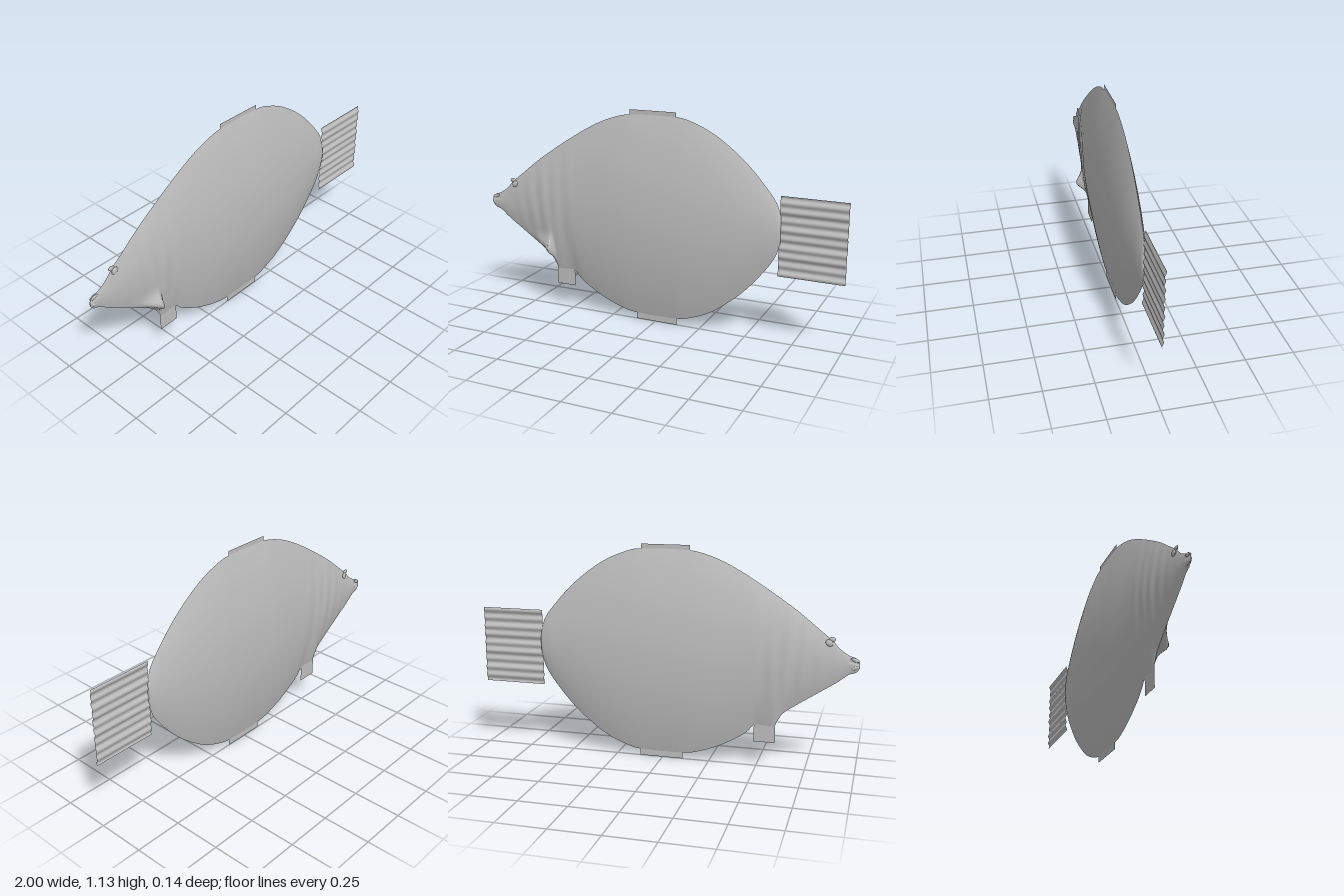
import * as THREE from 'three';

// Smooth interpolation through [x, value] points
function curve(pts) {
  const slope = pts.map((p, i) => {
    const a = pts[Math.max(i - 1, 0)], b = pts[Math.min(i + 1, pts.length - 1)];
    return (b[1] - a[1]) / (b[0] - a[0]);
  });
  return (x) => {
    let i = 0;
    while (i < pts.length - 2 && x > pts[i + 1][0]) i++;
    const [x0, y0] = pts[i], [x1, y1] = pts[i + 1], d = x1 - x0;
    const t = THREE.MathUtils.clamp((x - x0) / d, 0, 1), t2 = t * t, t3 = t2 * t;
    return y0 * (2 * t3 - 3 * t2 + 1) + y1 * (3 * t2 - 2 * t3)
      + d * (slope[i] * (t3 - 2 * t2 + t) + slope[i + 1] * (t3 - t2));
  };
}

const back = curve([[-1, 0.58], [-0.985, 0.6], [-0.95, 0.612], [-0.9, 0.645], [-0.87, 0.678], [-0.8, 0.735],
  [-0.7, 0.815], [-0.6, 0.885], [-0.5, 0.95], [-0.4, 1.01], [-0.3, 1.06], [-0.2, 1.094], [-0.13, 1.105],
  [0.13, 1.105], [0.2, 1.088], [0.3, 1.045], [0.4, 0.98], [0.5, 0.895], [0.6, 0.785], [0.65, 0.715], [0.67, 0.655]]);
const belly = curve([[-1, 0.55], [-0.985, 0.53], [-0.95, 0.517], [-0.9, 0.478], [-0.8, 0.41], [-0.7, 0.343],
  [-0.63, 0.29], [-0.605, 0.25], [-0.585, 0.22], [-0.49, 0.22], [-0.45, 0.18], [-0.4, 0.143], [-0.3, 0.088],
  [-0.2, 0.05], [-0.13, 0.035], [0.13, 0.035], [0.2, 0.052], [0.3, 0.095], [0.4, 0.165], [0.5, 0.255],
  [0.6, 0.375], [0.65, 0.455], [0.67, 0.52]]);
const thick = curve([[-1, 0.005], [-0.9, 0.009], [-0.8, 0.019], [-0.7, 0.03], [-0.6, 0.04], [-0.4, 0.053],
  [-0.15, 0.068], [0.15, 0.068], [0.4, 0.053], [0.6, 0.027], [0.66, 0.013], [0.67, 0.01]]);

const gauss = (d, s) => Math.exp(-(d * d) / (s * s));

// Half thickness at x, with v running from -1 (belly) to 1 (back)
function depth(x, v, y, side) {
  const lens = 1 - v * v;
  let z = thick(x) * lens;
  // soft creases behind the head
  z += 0.002 * lens * gauss(x + 0.66, 0.14) * Math.sin(x * 75 + v * 2);
  z -= 0.006 * lens * gauss(x + 0.54, 0.035) * gauss(v + 0.6, 0.6);
  // mouth slit
  z -= 0.003 * lens * gauss(y - 0.575 - (x + 1) * 0.2, 0.008) * (x < -0.95 ? 1 : 0);
  if (side > 0) { // flared gill edge
    const rise = THREE.MathUtils.clamp((x + 0.85) / 0.23, 0, 1) ** 2;
    const drop = 1 - THREE.MathUtils.smoothstep(x, -0.615, -0.595);
    z += 0.05 * rise * drop * gauss(y - 0.335, 0.05) * Math.min(1, lens * 4);
  }
  return z;
}

// Grid surface from a point function
function sheet(nu, nv, point, flip) {
  const pos = [], index = [];
  for (let i = 0; i <= nu; i++) for (let j = 0; j <= nv; j++) pos.push(...point(i / nu, j / nv, i));
  for (let i = 0; i < nu; i++) for (let j = 0; j < nv; j++) {
    const a = i * (nv + 1) + j, b = a + nv + 1;
    if (flip) index.push(a, a + 1, b, b, a + 1, b + 1);
    else index.push(a, b, a + 1, b, b + 1, a + 1);
  }
  const g = new THREE.BufferGeometry();
  g.setAttribute('position', new THREE.Float32BufferAttribute(pos, 3));
  g.setIndex(index);
  g.computeVertexNormals();
  return g;
}

export function createModel() {
  const model = new THREE.Group();
  model.name = 'fish';
  const grey = new THREE.MeshStandardMaterial({ color: 0xc0c0c0, side: THREE.DoubleSide });
  grey.name = 'light grey';
  const add = (name, geometry, x = 0, y = 0, z = 0) => {
    const mesh = new THREE.Mesh(geometry, grey);
    mesh.name = name;
    mesh.position.set(x, y, z);
    model.add(mesh);
    return mesh;
  };

  // Two lens-shaped flanks meeting in a sharp seam; end stations close flat
  const N = 180;
  for (const side of [1, -1]) {
    const flank = sheet(N, 28, (u, w, i) => {
      const s = THREE.MathUtils.clamp((i - 1) / (N - 2), 0, 1);
      const x = -1 + 1.67 * s, v = -Math.cos(w * Math.PI);
      const top = back(x), low = belly(x), y = (top + low) / 2 + v * (top - low) / 2;
      return [x, y, i === 0 || i === N ? 0 : side * depth(x, v, y, side)];
    }, side < 0);
    add(side > 0 ? 'frontFlank' : 'backFlank', flank);

    // Eye and brow
    const eye = add('eye', new THREE.SphereGeometry(1, 16, 10), -0.848, 0.672, side * 0.006);
    eye.scale.set(0.02, 0.016, 0.007);
    eye.rotation.z = 0.6;
    // Lips
    for (const [y, tilt] of [[0.592, 0.35], [0.552, -0.35]]) {
      const lip = add('lip', new THREE.SphereGeometry(1, 14, 8), -0.977, y, side * 0.003);
      lip.scale.set(0.022, 0.009, 0.005);
      lip.rotation.z = tilt;
    }
  }
  const brow = add('brow', new THREE.SphereGeometry(1, 14, 8), -0.862, 0.69);
  brow.scale.set(0.018, 0.012, 0.006);

  // Flat fins
  const fin = (name, x0, x1, y0, y1) =>
    add(name, new THREE.PlaneGeometry(x1 - x0, y1 - y0), (x0 + x1) / 2, (y0 + y1) / 2);
  fin('dorsalFin', -0.143, 0.112, 1.095, 1.13);
  fin('analFin', -0.11, 0.122, 0, 0.045);
  fin('pelvicFin', -0.595, -0.485, 0.13, 0.235);

  // Tail fin with ripples running along its length
  add('tailFin', sheet(4, 100, (u, w) => [
    0.663 + 0.337 * u, 0.352 + 0.41 * w,
    0.0035 * Math.sin(w * Math.PI * 18) + 0.0015 * Math.sin(w * 23 + 1)
  ]));
  return model;
}
